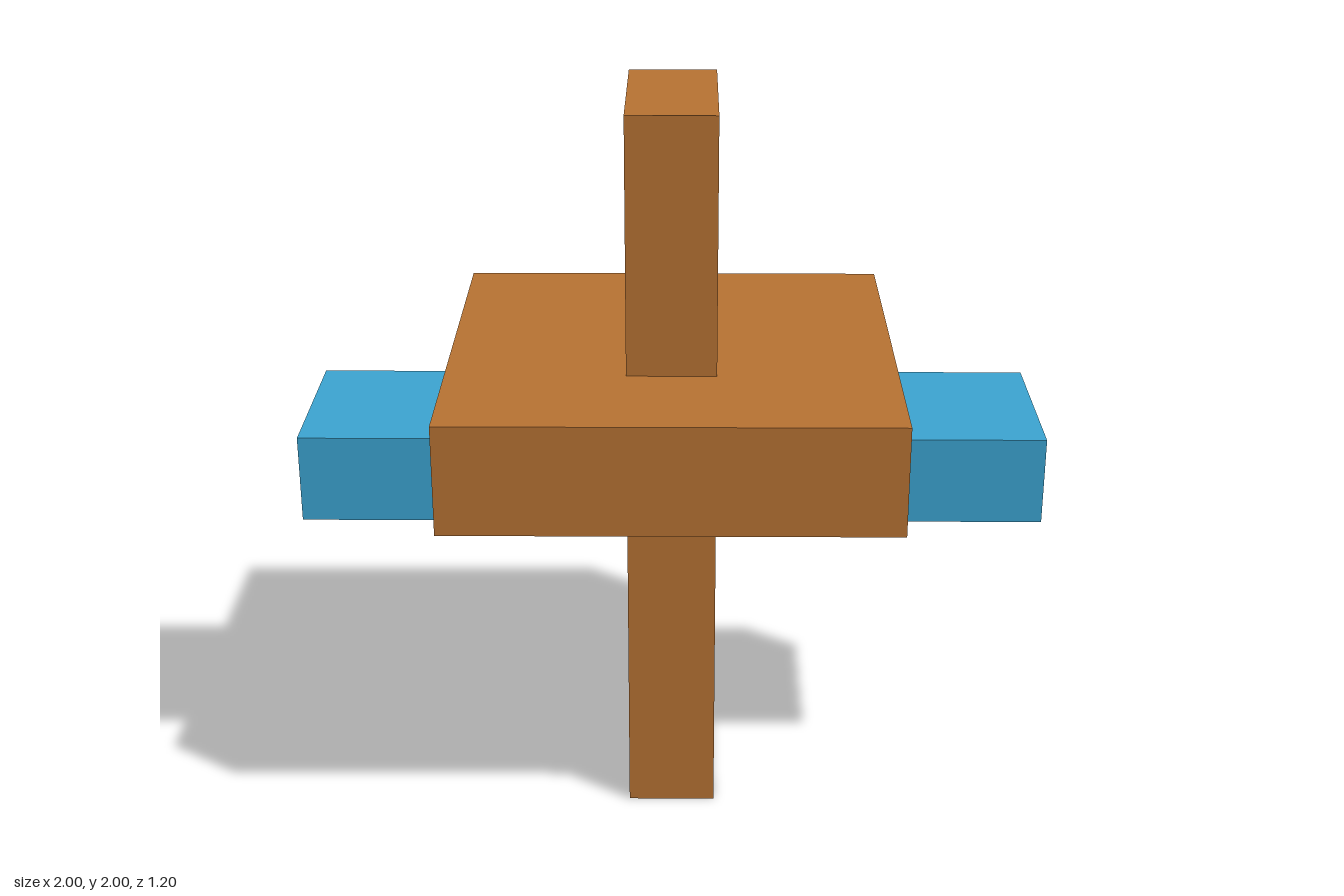
import * as THREE from 'three';

export function createModel() {
  const model = new THREE.Group();
  const brown = new THREE.MeshStandardMaterial({ color: 0xb87333 });
  const blue = new THREE.MeshStandardMaterial({ color: 0x3ca5d2 });

  // Box centred on x and z, spanning bottom to top in y
  const addBlock = (name, width, depth, bottom, top, material) => {
    const mesh = new THREE.Mesh(new THREE.BoxGeometry(width, top - bottom, depth), material);
    mesh.name = name;
    mesh.position.y = (bottom + top) / 2;
    model.add(mesh);
  };

  // Upright post, in two lengths that butt against the crossbeam
  addBlock('lowerPost', 0.24, 0.5, 0, 0.88, brown);
  addBlock('upperPost', 0.24, 0.5, 1.12, 2, brown);

  // Horizontal beam, partly sunk into the underside of the slab
  addBlock('crossbeam', 2, 0.5, 0.88, 1.12, blue);

  // Square slab around the post
  addBlock('slab', 1.2, 1.2, 1, 1.3, brown);

  return model;
}
